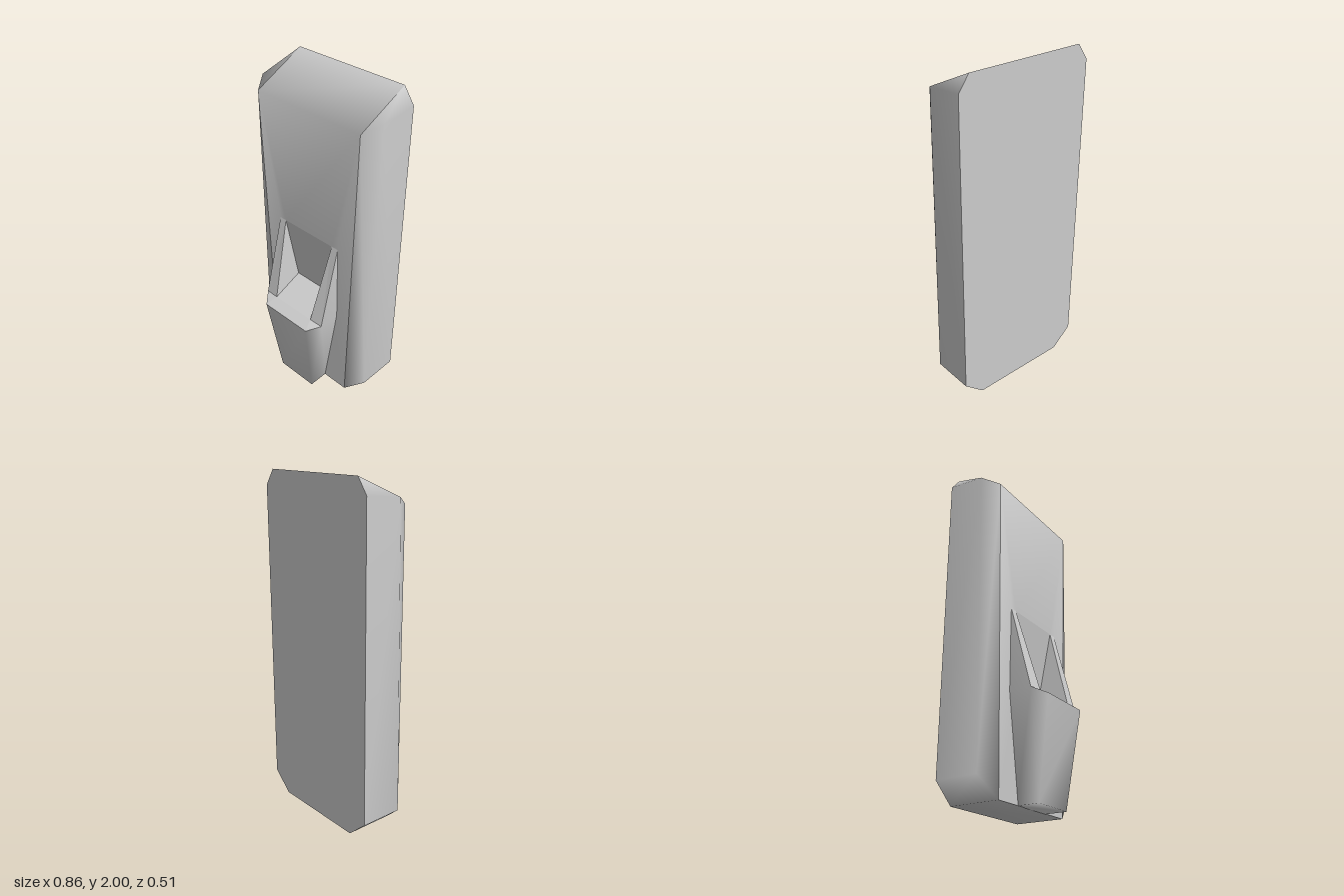
import * as THREE from 'three';

const material = new THREE.MeshStandardMaterial({ color: 0xcccccc });

// Builds a mirrored surface from points on the +x half.
// strips: chains of points, each joined straight across to its mirror image.
// sides: polygons on the +x half, repeated on the other half.
function mirroredPatch(name, points, strips, sides, flat = false) {
  const n = points.length;
  const all = [...points, ...points.map(([x, y, z]) => [-x, y, z])];
  const index = [];
  const fan = (f) => {
    for (let i = 1; i < f.length - 1; i++) index.push(f[0], f[i], f[i + 1]);
  };
  for (const chain of strips) {
    for (let i = 0; i < chain.length - 1; i++) {
      const [a, b] = [chain[i], chain[i + 1]];
      fan([a, a + n, b + n, b]);
    }
  }
  for (const side of sides) {
    for (let i = 1; i < side.length - 1; i++) {
      const [a, b, c] = [side[0], side[i], side[i + 1]];
      index.push(a, b, c, a + n, c + n, b + n);
    }
  }
  let geometry = new THREE.BufferGeometry();
  geometry.setAttribute('position', new THREE.Float32BufferAttribute(all.flat(), 3));
  geometry.setIndex(index);
  if (flat) geometry = geometry.toNonIndexed();
  geometry.computeVertexNormals();
  const mesh = new THREE.Mesh(geometry, material);
  mesh.name = name;
  return mesh;
}

export function createModel() {
  const model = new THREE.Group();
  model.name = 'wallBasin';

  // Shared corners of the body (+x half)
  const backTop = [0.365, 2, -0.255];
  const frontTop = [0.365, 1.845, 0.065];
  const frontBottom = [0.305, 0, 0.045];
  const backBottom = [0.305, 0, -0.255];
  const sideTopBack = [0.43, 1.91, -0.255];
  const sideTopFront = [0.43, 1.89, -0.03];
  const sideBottomFront = [0.43, 0.11, 0];
  const sideBottomBack = [0.43, 0.11, -0.255];

  // Shared corners of the bowl (+x half)
  const lip = [0.17, 0.555, 0.255];
  const shoulder = [0.23, 0.585, 0.185];
  const rimTop = [0.23, 1.08, 0.057];
  const innerTop = [0.185, 1.08, 0.057];
  const innerFront = [0.145, 0.59, 0.19];
  const innerBack = [0.145, 0.67, 0];
  const footFront = [0.135, 0, 0.17];
  const footBack = [0.135, 0, 0.04];

  const body = new THREE.Group();
  body.name = 'body';
  body.add(
    // Sloped top flowing into the front, open where the bowl cuts in
    mirroredPatch('frontPanel',
      [backTop, frontTop, innerTop, [0.145, 0.648, 0.052], frontBottom],
      [[0, 1, 2], [3, 4]], [[1, 2, 3, 4]]),
    // Side walls with their bevels, and the underside
    mirroredPatch('sidePanels',
      [backTop, frontTop, frontBottom, sideTopBack, sideTopFront,
        sideBottomFront, sideBottomBack, backBottom],
      [[2, 7]], [[0, 1, 4, 3], [1, 2, 5, 4], [4, 5, 6, 3], [5, 2, 7, 6]]),
    mirroredPatch('backPanel',
      [backBottom, sideBottomBack, sideTopBack, backTop],
      [[0, 1, 2, 3]], [], true),
  );

  const bowl = new THREE.Group();
  bowl.name = 'bowl';
  bowl.add(
    // Tapered outside of the bowl
    mirroredPatch('bowlShell',
      [lip, footFront, shoulder, footBack, rimTop, [0.23, 0.585, 0.05]],
      [[0, 1, 3]], [[0, 1, 2], [2, 1, 3, 5], [2, 5, 4]]),
    // Front lip and the sloping side rims
    mirroredPatch('bowlRim',
      [lip, shoulder, innerFront, innerTop, rimTop],
      [[2, 0]], [[0, 1, 2], [1, 4, 3, 2]], true),
    // Back wall, floor and side walls of the hollow
    mirroredPatch('bowlHollow',
      [innerTop, innerFront, innerBack],
      [[0, 2, 1]], [[0, 2, 1]], true),
  );

  model.add(body, bowl);
  return model;
}
